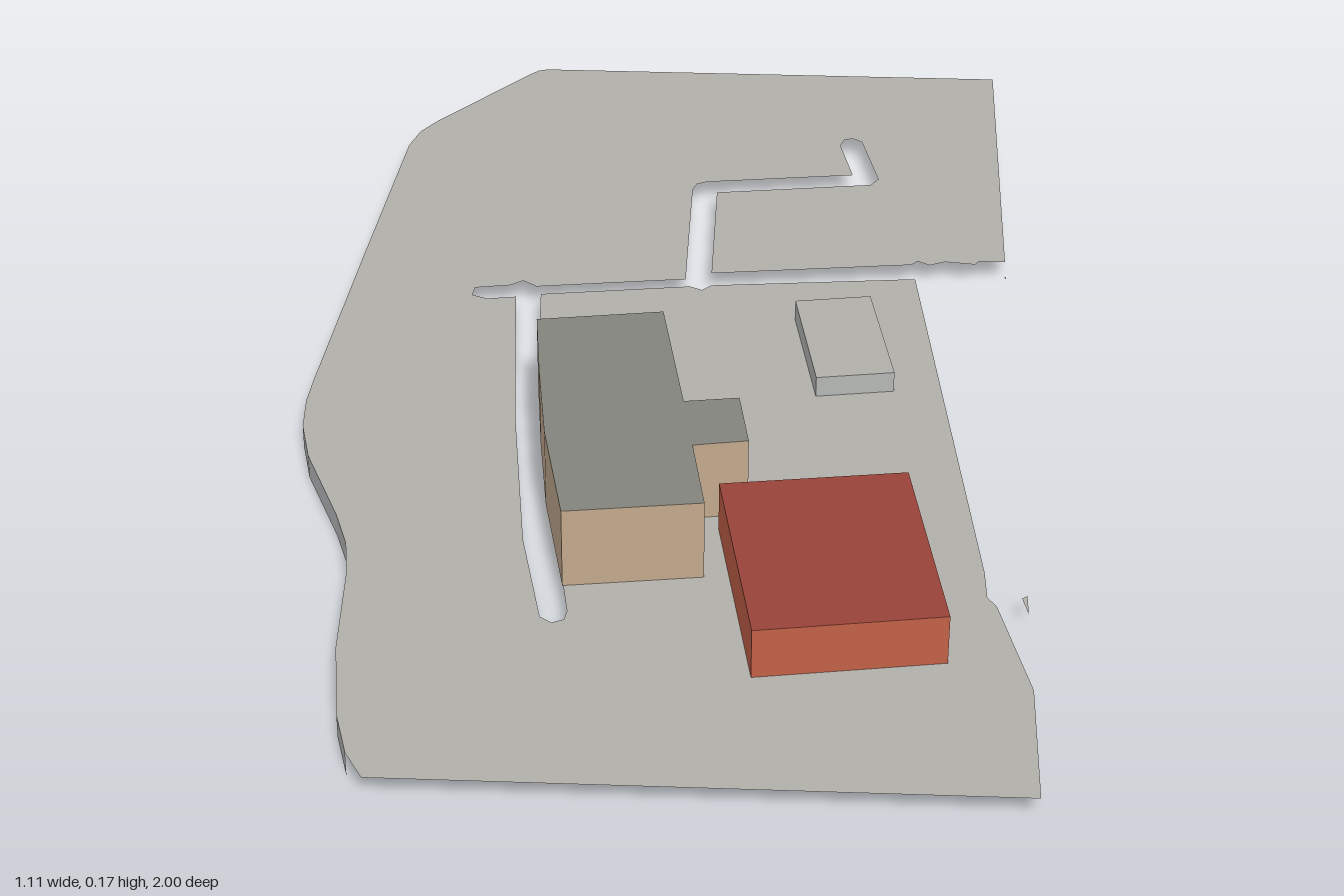
import * as THREE from 'three';

const GROUND = 0.04;
const mat = (name, color) => new THREE.MeshStandardMaterial({ name, color, side: THREE.DoubleSide });

// Flat horizontal face from [x, z] points
function plate(name, points, y, material) {
  const shape = new THREE.Shape(points.map(([x, z]) => new THREE.Vector2(x, -z)));
  const mesh = new THREE.Mesh(new THREE.ShapeGeometry(shape).rotateX(-Math.PI / 2), material);
  mesh.position.y = y;
  mesh.name = name;
  return mesh;
}

// Vertical band along [x, z] points, with hard edges between its panels
function band(name, points, y0, y1, closed, material) {
  const pos = [];
  const count = closed ? points.length : points.length - 1;
  for (let i = 0; i < count; i++) {
    const [ax, az] = points[i];
    const [bx, bz] = points[(i + 1) % points.length];
    pos.push(ax, y0, az, ax, y1, az, bx, y1, bz, ax, y0, az, bx, y1, bz, bx, y0, bz);
  }
  const geo = new THREE.BufferGeometry();
  geo.setAttribute('position', new THREE.Float32BufferAttribute(pos, 3));
  geo.computeVertexNormals();
  const mesh = new THREE.Mesh(geo, material);
  mesh.name = name;
  return mesh;
}

// Flat-roofed block: footprint runs clockwise as seen from above
function building(name, footprint, top, wallMaterial, roofMaterial) {
  const group = new THREE.Group();
  group.name = name;
  group.add(band(name + 'Walls', footprint, GROUND, top, true, wallMaterial));
  group.add(plate(name + 'Roof', footprint, top, roofMaterial));
  return group;
}

export function createModel() {
  const land = mat('land grey', 0xb0afaa);
  const edge = mat('edge grey', 0xb4b5b6);
  const tan = mat('tan wall', 0xc2a98d);
  const slate = mat('slate roof', 0x83847c);
  const brick = mat('brick wall', 0xc26148);
  const redRoof = mat('red roof', 0x984338);
  const shed = mat('shed grey', 0xb5b8b6);

  const model = new THREE.Group();
  model.name = 'sitePlan';

  // Shoreline on the left, back to front
  const shore = [
    [-0.26, -1], [-0.275, -0.995], [-0.29, -0.98], [-0.44, -0.8], [-0.467, -0.76], [-0.482, -0.71],
    [-0.515, -0.36], [-0.551, 0.04], [-0.555, 0.1], [-0.551, 0.17], [-0.532, 0.25], [-0.47, 0.4],
    [-0.447, 0.47], [-0.437, 0.54], [-0.43, 0.72], [-0.41, 0.87], [-0.388, 0.95], [-0.36, 1],
  ];
  // Front and right edges, up to the mouth of the cross path
  const rightEdge = [[0.55, 1], [0.55, 0.77], [0.505, 0.58], [0.492, 0.56], [0.49, 0.5], [0.4, -0.305]];
  // Near side of the cross path, then round the long lower path
  const lowerPath = [
    [0.065, -0.27], [0.05, -0.255], [0.03, -0.265], [-0.213, -0.23],
    [-0.195, 0.05], [-0.155, 0.34], [-0.11, 0.62], [-0.113, 0.64], [-0.13, 0.648], [-0.148, 0.635],
    [-0.187, 0.45], [-0.225, 0.13], [-0.253, -0.22],
  ];
  // Rounded path end, then the far side and the crooked upper path
  const upperPath = [
    [-0.3, -0.212], [-0.325, -0.222], [-0.322, -0.245], [-0.265, -0.255], [-0.245, -0.27], [-0.222, -0.253],
    [0.022, -0.287], [0.022, -0.58], [0.028, -0.598], [0.045, -0.607], [0.297, -0.642],
    [0.275, -0.745], [0.282, -0.765], [0.297, -0.77], [0.313, -0.758], [0.341, -0.63], [0.328, -0.61],
    [0.064, -0.572], [0.064, -0.308], [0.395, -0.35], [0.405, -0.362], [0.425, -0.35], [0.45, -0.362],
    [0.5, -0.356], [0.507, -0.366], [0.55, -0.366], [0.55, -1],
  ];
  model.add(plate('land', [...shore, ...rightEdge, ...lowerPath, ...upperPath], GROUND, land));

  // Raised bank under the shoreline only
  model.add(band('shoreBank', shore.slice(0, -1), 0, GROUND, false, edge));

  // Tiny leftover slivers at the right boundary
  model.add(plate('frontSliver', [[0.542, 0.56], [0.55, 0.597], [0.55, 0.553]], GROUND, land));
  model.add(plate('backSliver', [[0.547, -0.318], [0.55, -0.312], [0.55, -0.319]], GROUND, land));

  // Buildings
  model.add(building('mainBuilding', [
    [-0.195, 0.053], [0, 0.022], [0.042, 0.27], [0.125, 0.257], [0.142, 0.37], [0.06, 0.385],
    [0.083, 0.53], [-0.121, 0.56], [-0.16, 0.36], [-0.18, 0.2],
  ], 0.172, tan, slate));
  model.add(building('brickBuilding', [
    [0.1, 0.41], [0.378, 0.368], [0.432, 0.715], [0.157, 0.76],
  ], 0.122, brick, redRoof));
  model.add(building('shed', [
    [0.204, -0.173], [0.325, -0.193], [0.362, 0.03], [0.24, 0.05],
  ], 0.075, shed, land));

  return model;
}
